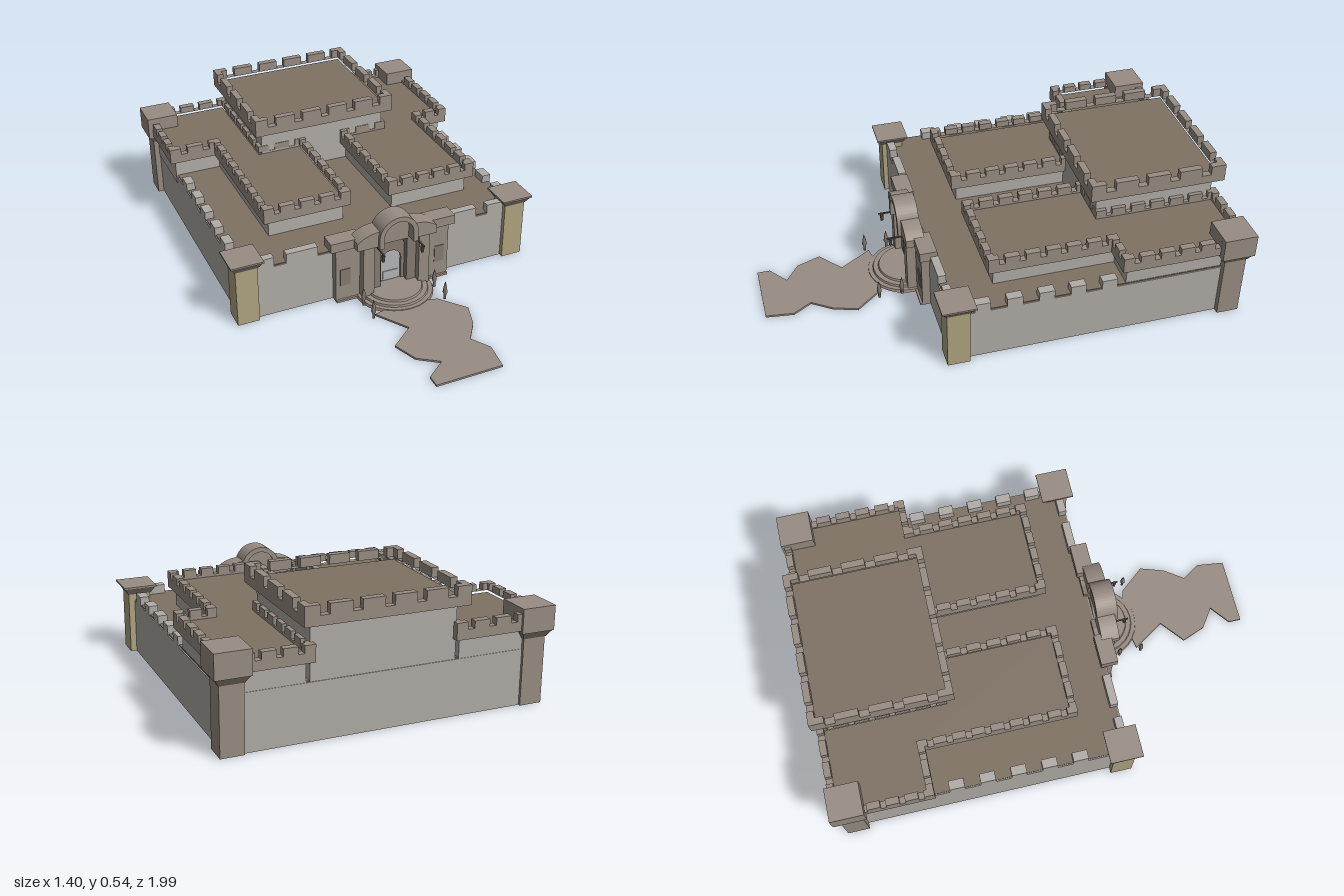
import * as THREE from 'three';

const paint = (color, side = THREE.FrontSide) => new THREE.MeshStandardMaterial({ color, side });

export function createModel() {
  const model = new THREE.Group();
  const wallMat = paint(0xb1aca7), stone = paint(0x988d83), roofMat = paint(0x7f7264);
  const tan = paint(0xb0a581), dark = paint(0x55504c), pale = paint(0xb4b8ba), trim = paint(0x857a70);

  const add = (name, geo, mat, parent = model) => {
    const m = new THREE.Mesh(geo, mat);
    m.name = name;
    parent.add(m);
    return m;
  };
  // Box given by its limits on each axis
  const box = (name, x0, x1, y0, y1, z0, z1, mat, parent) => {
    const g = new THREE.BoxGeometry(x1 - x0, y1 - y0, z1 - z0);
    g.translate((x0 + x1) / 2, (y0 + y1) / 2, (z0 + z1) / 2);
    return add(name, g, mat, parent);
  };
  const toShape = (pts) => new THREE.Shape(pts.map(([x, z]) => new THREE.Vector2(x, -z)));
  // Floor-plan outline raised from y0 to y1
  const raise = (name, pts, y0, y1, mat, hole, parent) => {
    const s = toShape(pts);
    if (hole) s.holes.push(toShape(hole));
    const g = new THREE.ExtrudeGeometry(s, { depth: y1 - y0, bevelEnabled: false });
    g.rotateX(-Math.PI / 2).translate(0, y0, 0);
    return add(name, g, mat, parent);
  };
  // Front-facing outline extruded along z
  const facade = (name, shape, z0, z1, mat, parent) => {
    const g = new THREE.ExtrudeGeometry(shape, { depth: z1 - z0, bevelEnabled: false, curveSegments: 12 });
    return add(name, g.translate(0, 0, z0), mat, parent);
  };
  // Moves a right-angled outline inward by d
  const inset = (pts, d) => {
    const n = pts.length;
    const area = pts.reduce((a, [x, z], i) => a + x * pts[(i + 1) % n][1] - pts[(i + 1) % n][0] * z, 0);
    const s = Math.sign(area) * d;
    const normal = ([ax, az], [bx, bz]) => {
      const l = Math.hypot(bx - ax, bz - az);
      return [-(bz - az) / l * s, (bx - ax) / l * s];
    };
    return pts.map((p, i) => {
      const a = normal(pts[(i + n - 1) % n], p), b = normal(p, pts[(i + 1) % n]);
      return [p[0] + a[0] + b[0], p[1] + a[1] + b[1]];
    });
  };
  // Block of the castle: wall, overhanging parapet ring, roof and merlons
  const block = (name, pts, o) => {
    const g = new THREE.Group();
    g.name = name;
    model.add(g);
    const w = 0.03;
    raise('wall', inset(pts, o.over), 0.2, o.y + 0.01, wallMat, null, g);
    raise('parapet', pts, o.y, o.y + 0.04, stone, inset(pts, w), g);
    raise('roof', inset(pts, w - 0.002), o.y, o.y + 0.03, roofMat, null, g);
    const line = inset(pts, w / 2);
    line.forEach((a, i) => {
      const b = line[(i + 1) % line.length];
      const len = Math.hypot(b[0] - a[0], b[1] - a[1]);
      const n = Math.max(1, Math.round(len / o.pitch)), half = len / n * 0.35;
      for (let k = 0; k <= n; k++) {
        const t0 = Math.max(-w / 2, k * len / n - half), t1 = Math.min(len + w / 2, k * len / n + half);
        const m = add('merlon', new THREE.BoxGeometry(t1 - t0, o.top - o.y - 0.04, w), stone, g);
        const t = (t0 + t1) / 2 / len;
        m.position.set(a[0] + (b[0] - a[0]) * t, (o.y + 0.04 + o.top) / 2, a[1] + (b[1] - a[1]) * t);
        m.rotation.y = -Math.atan2(b[1] - a[1], b[0] - a[0]);
      }
    });
  };

  // Main body with its low roof
  box('mainWalls', -0.65, 0.65, 0, 0.236, -0.955, 0.3, wallMat);
  box('mainRoof', -0.645, 0.645, 0.23, 0.241, -0.95, 0.295, roofMat);
  // Merlons along the side and front walls
  for (const s of [-1, 1]) {
    for (let i = 0; i < 5; i++) {
      const z = (s < 0 ? -0.455 : -0.375) + i * 0.135;
      box('sideMerlon', s * 0.63 - 0.02, s * 0.63 + 0.02, 0.23, 0.276, z - 0.033, z + 0.033, wallMat);
    }
    box('frontMerlon', s * 0.375 - 0.07, s * 0.375 + 0.07, 0.23, 0.28, 0.265, 0.3, wallMat);
    box('frontMerlon', s * 0.54 - 0.04, s * 0.54 + 0.04, 0.23, 0.28, 0.265, 0.3, wallMat);
  }

  // Upper wings and keep
  block('rightWing', [[-0.68, -0.98], [-0.27, -0.98], [-0.27, -0.45], [-0.07, -0.45],
    [-0.07, 0.11], [-0.47, 0.11], [-0.47, -0.55], [-0.68, -0.55]], { y: 0.32, top: 0.39, over: 0.027, pitch: 0.085 });
  block('leftWing', [[0.67, -0.98], [0.31, -0.98], [0.31, -0.45], [0.11, -0.45],
    [0.11, 0.11], [0.53, 0.11], [0.53, -0.42], [0.67, -0.42]], { y: 0.32, top: 0.39, over: 0.027, pitch: 0.085 });
  block('keep', [[-0.32, -0.99], [0.36, -0.99], [0.36, -0.385], [-0.32, -0.385]], { y: 0.46, top: 0.54, over: 0.038, pitch: 0.13 });

  // Corner pillars with flared capitals
  const pillar = (name, x, z, y, top, mat) => {
    const g = new THREE.Group();
    g.name = name;
    g.position.set(x, 0, z);
    model.add(g);
    box('shaft', -0.048, 0.048, 0, y, -0.048, 0.048, mat, g);
    const flare = new THREE.CylinderGeometry(0.068 * Math.SQRT2, 0.05 * Math.SQRT2, 0.03, 4).toNonIndexed();
    flare.computeVertexNormals();
    flare.rotateY(Math.PI / 4).translate(0, y + 0.015, 0);
    add('capital', flare, trim, g);
    box('capSlab', -0.072, 0.072, y + 0.03, top, -0.072, 0.072, stone, g);
  };
  for (const s of [-1, 1]) {
    pillar('frontPillar', s * 0.628, 0.273, 0.265, 0.303, tan);
    pillar('backPillar', s * 0.628, -0.918, 0.28, 0.412, stone);
  }

  // Gatehouse, built around its own centre line
  const gate = new THREE.Group();
  gate.name = 'gatehouse';
  gate.position.x = 0.025;
  model.add(gate);
  for (const s of [-1, 1]) {
    const side = (name, a, b, y0, y1, z0, z1, mat) =>
      box(name, Math.min(s * a, s * b), Math.max(s * a, s * b), y0, y1, z0, z1, mat, gate);
    side('sidePanel', 0.13, 0.265, 0, 0.265, 0.28, 0.335, stone);
    side('sidePanelCap', 0.15, 0.29, 0.26, 0.303, 0.27, 0.345, stone);
    side('sideWindow', 0.2, 0.246, 0.08, 0.16, 0.33, 0.338, trim);
    side('gateColumn', 0.105, 0.155, 0.01, 0.262, 0.28, 0.375, stone);
    side('innerColumn', 0.062, 0.108, 0.01, 0.262, 0.28, 0.345, trim);
    // Curved shoulder above the columns
    const sh = new THREE.Shape();
    sh.moveTo(s * 0.185, 0.262);
    sh.lineTo(s * 0.185, 0.298);
    sh.quadraticCurveTo(s * 0.14, 0.335, s * 0.08, 0.335);
    sh.lineTo(s * 0.08, 0.262);
    facade('archShoulder', sh, 0.3, 0.38, stone, gate);
    // Hanging lantern on a bracket
    side('lanternBracket', 0.088, 0.094, 0.252, 0.258, 0.37, 0.445, dark);
    const lamp = add('lantern', new THREE.CylinderGeometry(0.009, 0.006, 0.03, 6), dark, gate);
    lamp.position.set(s * 0.091, 0.233, 0.43);
    // Pointed posts beside the steps
    for (const z of [0.405, 0.505]) {
      const post = add('pointedPost', new THREE.LatheGeometry([[0, 0], [0.006, 0], [0.006, 0.025], [0.011, 0.035], [0.007, 0.065], [0, 0.092]]
        .map(([x, y]) => new THREE.Vector2(x, y)), 8), trim, gate);
      post.position.set(s * 0.168, 0.003, z);
    }
  }
  // Round-headed outline standing on y0
  const arched = (r, y0, yc, P = THREE.Shape) => {
    const p = new P();
    p.moveTo(-r, y0);
    p.lineTo(r, y0);
    p.lineTo(r, yc);
    p.absarc(0, yc, r, 0, Math.PI, false);
    p.lineTo(-r, y0);
    return p;
  };
  // Arch ring, recessed panel with doorway, and door
  const ring = new THREE.Shape();
  ring.moveTo(0.09, 0.255);
  ring.lineTo(0.09, 0.302);
  ring.absarc(0, 0.302, 0.09, 0, Math.PI, false);
  ring.lineTo(-0.09, 0.255);
  ring.lineTo(-0.068, 0.255);
  ring.lineTo(-0.068, 0.302);
  ring.absarc(0, 0.302, 0.068, Math.PI, 0, true);
  ring.lineTo(0.068, 0.255);
  facade('archRing', ring, 0.3, 0.395, stone, gate);
  facade('archPanel', arched(0.07, 0.245, 0.302), 0.31, 0.345, stone, gate);
  const surround = arched(0.064, 0.02, 0.19);
  surround.holes.push(arched(0.047, 0.03, 0.135, THREE.Path));
  facade('doorSurround', surround, 0.3, 0.318, trim, gate);
  facade('door', arched(0.05, 0.025, 0.135), 0.3, 0.308, pale, gate);
  box('doorLeaf', -0.035, 0.035, 0.028, 0.075, 0.3, 0.312, pale, gate);

  // Rounded steps
  [[0.172, 0, 0.012], [0.15, 0.01, 0.021], [0.125, 0.02, 0.03]].forEach(([r, y0, y1]) => {
    const step = add('roundStep', new THREE.CylinderGeometry(r - 0.004, r, y1 - y0, 28), stone, gate);
    step.position.set(0, (y0 + y1) / 2, 0.35);
  });
  box('gateBase', -0.265, 0.265, 0, 0.01, 0.29, 0.345, stone, gate);

  // Jagged path leading to the gate
  raise('path', [[-0.13, 0.49], [-0.04, 0.63], [-0.145, 0.715], [-0.105, 0.82], [-0.02, 0.88], [-0.105, 0.945],
    [-0.105, 1], [0.19, 1], [0.205, 0.88], [0.155, 0.8], [0.215, 0.715], [0.25, 0.61], [0.16, 0.5], [0.02, 0.46]], 0, 0.009, stone);

  return model;
}
